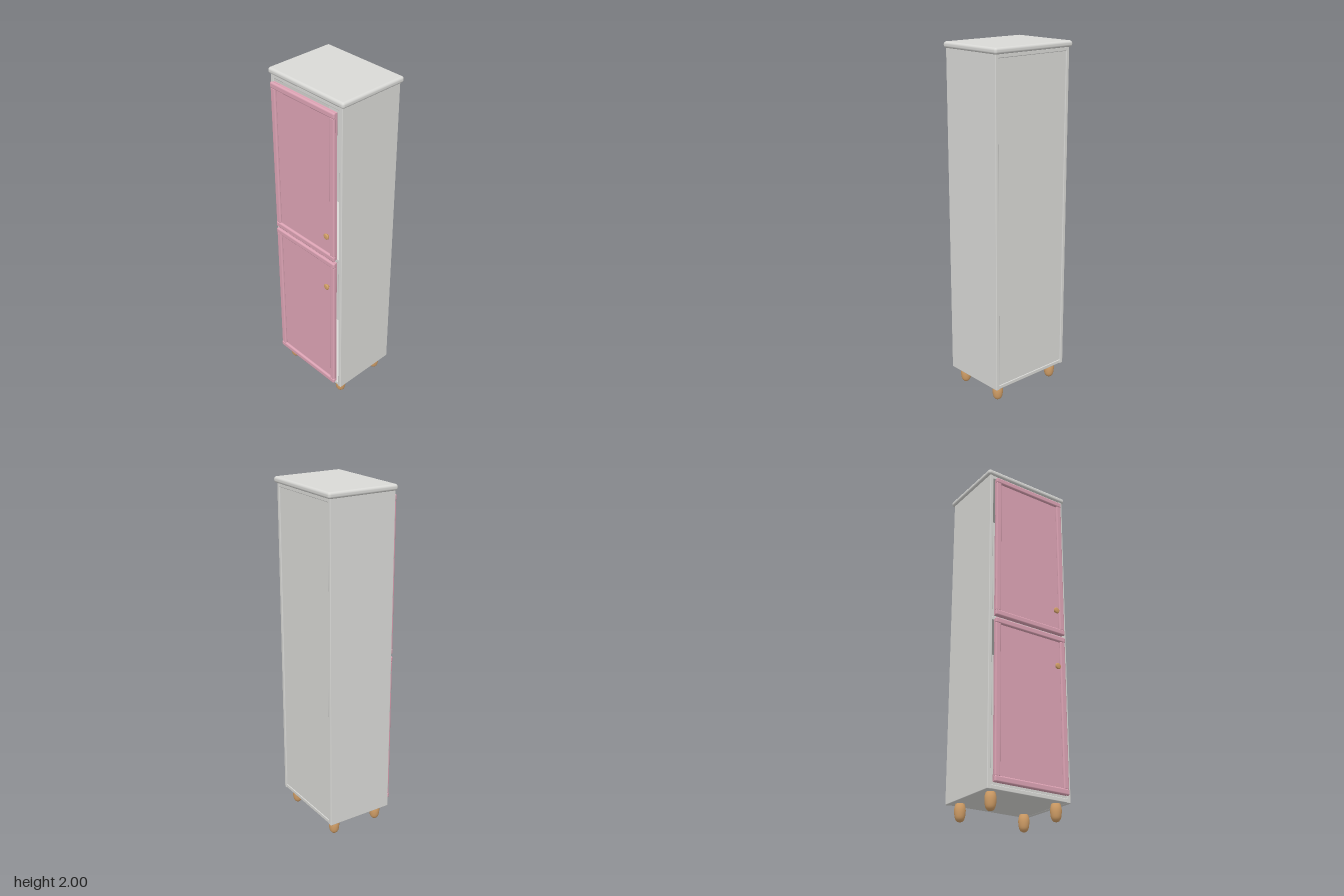
import * as THREE from 'three';
import { RoundedBoxGeometry } from 'three/addons/geometries/RoundedBoxGeometry.js';

export function createModel() {
  const model = new THREE.Group();
  model.name = 'cabinet';

  const mat = (name, color) => {
    const m = new THREE.MeshStandardMaterial({ color });
    m.name = name;
    return m;
  };
  const grey = mat('pale grey paint', 0xd9d9d6);
  const pink = mat('pink paint', 0xdca3b4);
  const wood = mat('light wood', 0xd3a068);

  // Rounded board given by its limits on each axis
  function board(name, parent, material, [x0, x1], [y0, y1], [z0, z1], r = 0.004) {
    const geo = new RoundedBoxGeometry(x1 - x0, y1 - y0, z1 - z0, 4, r);
    const mesh = new THREE.Mesh(geo, material);
    mesh.position.set((x0 + x1) / 2, (y0 + y1) / 2, (z0 + z1) / 2);
    mesh.name = name;
    parent.add(mesh);
    return mesh;
  }

  // Carcass
  const body = new THREE.Group();
  body.name = 'body';
  model.add(body);
  for (const s of [-1, 1]) {
    const xs = s < 0 ? [-0.262, -0.24] : [0.24, 0.262];
    board(s < 0 ? 'rightSide' : 'leftSide', body, grey, xs, [0.093, 1.97], [-0.213, 0.188]);
  }
  const inner = [-0.242, 0.242];
  board('bottomBoard', body, grey, inner, [0.095, 0.118], [-0.211, 0.186]);
  board('topRail', body, grey, inner, [1.945, 1.968], [-0.211, 0.186]);
  board('middleShelf', body, grey, inner, [1.027, 1.049], [-0.2, 0.184]);
  board('backPanel', body, grey, inner, [0.11, 1.95], [-0.207, -0.197], 0.001);
  board('worktop', model, grey, [-0.275, 0.275], [1.966, 2], [-0.228, 0.197], 0.014);

  // Door: backing panel framed by rounded rails and stiles, with a knob
  const knobGeo = new THREE.LatheGeometry([
    [0.008, 0], [0.008, 0.006], [0.0165, 0.01], [0.018, 0.014], [0.0165, 0.018], [0.013, 0.0205], [0, 0.021],
  ].map(([x, y]) => new THREE.Vector2(x, y)), 24);
  knobGeo.rotateX(Math.PI / 2);

  function door(name, y0, y1, knobY) {
    const g = new THREE.Group();
    g.name = name;
    const w = 0.035, z = [0.2, 0.219], x = [-0.236, 0.234];
    board('doorPanel', g, pink, [-0.231, 0.229], [y0 + 0.004, y1 - 0.004], [0.188, 0.204], 0.003);
    board('bottomRail', g, pink, x, [y0, y0 + w], z, 0.009);
    board('topRail', g, pink, x, [y1 - w, y1], z, 0.009);
    const ys = [y0 + w - 0.006, y1 - w + 0.006];
    board('rightStile', g, pink, [-0.235, -0.201], ys, [0.199, 0.217], 0.008);
    board('leftStile', g, pink, [0.199, 0.233], ys, [0.199, 0.217], 0.008);
    const knob = new THREE.Mesh(knobGeo, wood);
    knob.name = 'knob';
    knob.position.set(0.177, knobY, 0.204);
    g.add(knob);
    model.add(g);
  }
  door('upperDoor', 1.045, 1.94, 1.19);
  door('lowerDoor', 0.125, 1.033, 0.845);

  // Turned feet
  const footGeo = new THREE.LatheGeometry(new THREE.SplineCurve([
    [0, 0], [0.014, 0.003], [0.025, 0.018], [0.03, 0.045], [0.03, 0.07], [0.025, 0.092], [0.022, 0.1],
  ].map(([x, y]) => new THREE.Vector2(x, y))).getPoints(20).map((p) => p.setX(Math.max(0, p.x))), 28);
  for (const x of [-0.205, 0.205]) {
    for (const z of [0.132, -0.155]) {
      const foot = new THREE.Mesh(footGeo, wood);
      foot.name = (z > 0 ? 'front' : 'back') + (x > 0 ? 'Left' : 'Right') + 'Foot';
      foot.position.set(x, 0, z);
      model.add(foot);
    }
  }
  return model;
}
